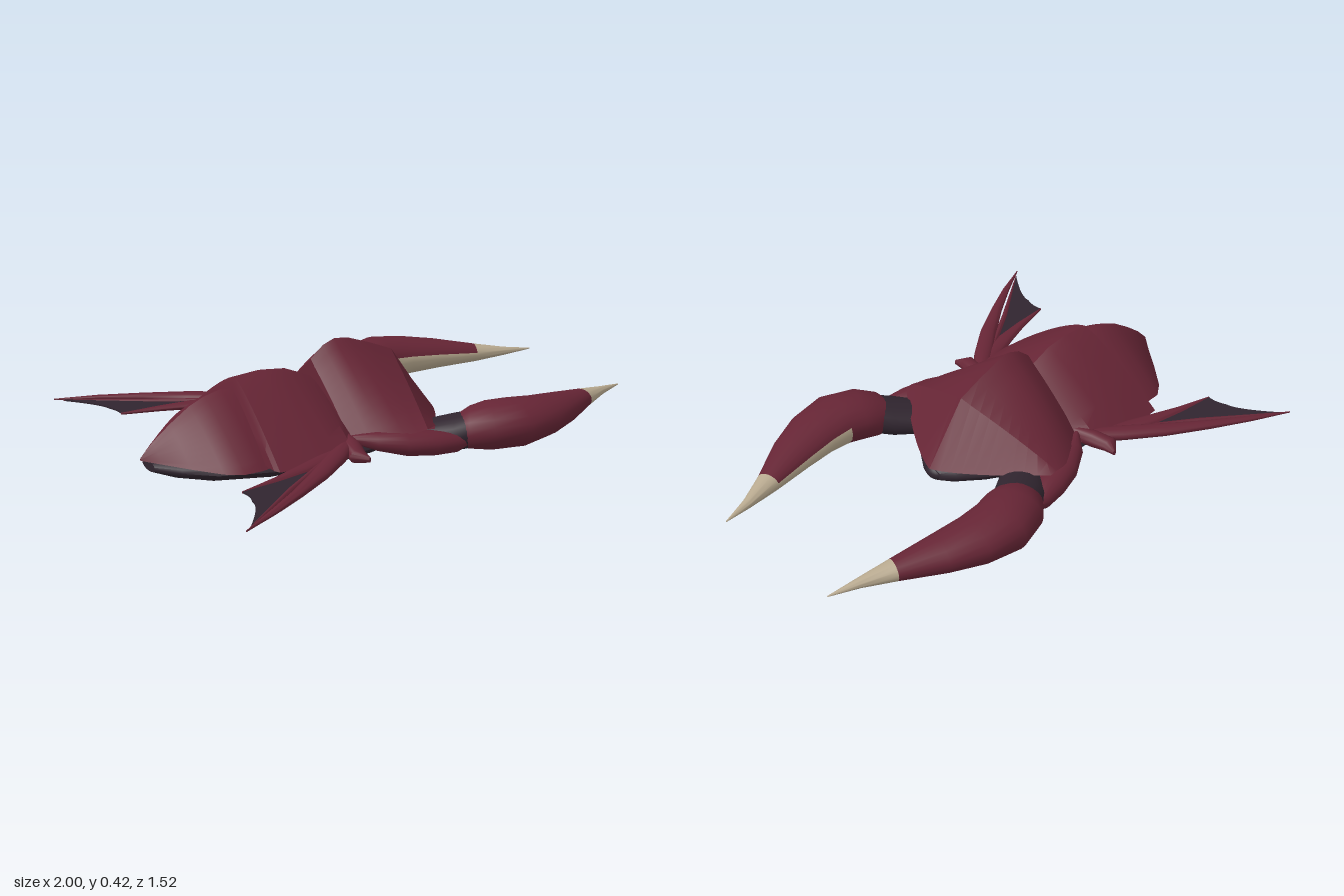
import * as THREE from 'three';
import { toCreasedNormals } from 'three/addons/utils/BufferGeometryUtils.js';

const mat = (name, color) => {
  const m = new THREE.MeshStandardMaterial({ color, side: THREE.DoubleSide });
  m.name = name;
  return m;
};

// Skin closed rings of points; pick(i, j) chooses the material slot of each quad
function loft(rings, crease = 0.6, pick = () => 0) {
  const n = rings[0].length, last = rings.length - 1;
  const pos = rings.flat().flatMap((p) => [p.x, p.y, p.z]);
  const slots = [[], []];
  for (let i = 0; i < last; i++) {
    for (let j = 0; j < n; j++) {
      const a = i * n + j, b = i * n + (j + 1) % n;
      slots[pick(i, j)].push(a, b, a + n, b, b + n, a + n);
    }
  }
  // End caps
  for (const i of [0, last]) {
    const c = new THREE.Vector3();
    rings[i].forEach((p) => c.addScaledVector(p, 1 / n));
    const k = pos.length / 3;
    pos.push(c.x, c.y, c.z);
    for (let j = 0; j < n; j++) {
      const a = i * n + j, b = i * n + (j + 1) % n;
      slots[pick(Math.min(i, last - 1), j)].push(k, ...(i ? [a, b] : [b, a]));
    }
  }
  const geo = new THREE.BufferGeometry();
  geo.setAttribute('position', new THREE.Float32BufferAttribute(pos, 3));
  geo.setIndex(slots.flat());
  geo.addGroup(0, slots[0].length, 0);
  if (slots[1].length) geo.addGroup(slots[0].length, slots[1].length, 1);
  return toCreasedNormals(geo, crease);
}

// Gabled armour plate. Stations: [x, halfWidth, ridgeY, edgeY, sideSkew, skewPower]
function shell(stations, profile) {
  const N = 20;
  return loft(stations.map(([x, w, h, e, skew = 0, pow = 1]) => {
    const ring = [];
    for (let j = 0; j <= N; j++) {
      const t = (j / N) * 2 - 1, a = Math.abs(t);
      ring.push(new THREE.Vector3(x - skew * a ** pow, e + (h - e) * profile(a), t * w));
    }
    return ring;
  }), 0.45);
}

// Oval limb along a path. Points: [x, y, z, halfWidth, halfHeight]; s mirrors in z
const SIDES = 20;
function limb(points, s = 1, pick) {
  const path = points.map(([x, y, z]) => new THREE.Vector3(x, y, z * s));
  const rings = points.map(([, , , w, h], i) => {
    const dir = path[Math.min(i + 1, path.length - 1)].clone().sub(path[Math.max(i - 1, 0)]);
    dir.y = 0;
    const side = new THREE.Vector3(0, 1, 0).cross(dir.normalize());
    return Array.from({ length: SIDES }, (_, j) => {
      const th = (j / SIDES) * Math.PI * 2;
      const p = path[i].clone().addScaledVector(side, w * Math.cos(th));
      p.y += h * Math.sin(th);
      return p;
    });
  });
  return loft(rings, 0.8, pick);
}

export function createModel() {
  const red = mat('crimson shell', 0x662535);
  const dark = mat('dark skin', 0x30252f);
  const cream = mat('cream claw', 0xb9aa90);
  const model = new THREE.Group();
  const add = (name, geo, material, parent = model) => {
    const mesh = new THREE.Mesh(geo, material);
    mesh.name = name;
    parent.add(mesh);
  };

  // Soft underbody and mouth
  add('underbody', limb([
    [-0.97, 0.09, 0, 0.05, 0.02], [-0.9, 0.085, 0, 0.13, 0.04], [-0.8, 0.08, 0, 0.21, 0.052],
    [-0.6, 0.075, 0, 0.28, 0.062], [-0.42, 0.075, 0, 0.3, 0.065], [-0.2, 0.08, 0, 0.29, 0.062],
    [0, 0.085, 0, 0.25, 0.06], [0.12, 0.085, 0, 0.18, 0.055], [0.2, 0.075, 0, 0.1, 0.04],
    [0.235, 0.07, 0, 0.05, 0.025],
  ]), dark);
  const mouth = new THREE.SphereGeometry(1, 20, 12);
  mouth.scale(0.03, 0.028, 0.045);
  mouth.translate(0.22, 0.068, 0);
  add('mouth', mouth, dark);

  // Armour plates from tail to head
  const tailProfile = (a) => 1 - a ** 1.25;
  const headProfile = (a) => 1 - 0.55 * a ** 0.8 - 0.45 * a ** 1.6;
  add('tailPlate', shell([
    [-1, 0.005, 0.125, 0.115], [-0.95, 0.065, 0.175, 0.11], [-0.88, 0.155, 0.228, 0.105],
    [-0.8, 0.25, 0.28, 0.1], [-0.74, 0.293, 0.305, 0.1], [-0.67, 0.297, 0.32, 0.1],
    [-0.6, 0.28, 0.31, 0.1],
  ], tailProfile), red);
  add('middlePlate', shell([
    [-0.62, 0.34, 0.33, 0.11, 0.03], [-0.61, 0.365, 0.357, 0.11, 0.03],
    [-0.5, 0.375, 0.363, 0.11, 0.015], [-0.4, 0.372, 0.35, 0.11],
    [-0.32, 0.36, 0.315, 0.11], [-0.27, 0.29, 0.29, 0.11],
  ], tailProfile), red);
  add('headPlate', shell([
    [-0.285, 0.27, 0.365, 0.12], [-0.23, 0.32, 0.41, 0.125], [-0.18, 0.355, 0.428, 0.135],
    [-0.12, 0.38, 0.42, 0.145], [-0.02, 0.395, 0.383, 0.15, 0.05],
    [0.08, 0.4, 0.34, 0.155, 0.11], [0.25, 0.4, 0.095, 0.15, 0.25, 1.3],
  ], headProfile), red);

  for (const s of [1, -1]) {
    const side = new THREE.Group();
    side.name = s > 0 ? 'leftLimbs' : 'rightLimbs';
    model.add(side);

    // Arm: armoured shoulder, soft elbow, claw
    add('shoulder', limb([
      [-0.29, 0.13, 0.265, 0.008, 0.012], [-0.2, 0.12, 0.32, 0.045, 0.035],
      [-0.1, 0.105, 0.36, 0.065, 0.047], [0, 0.095, 0.395, 0.06, 0.045],
      [0.08, 0.088, 0.425, 0.038, 0.035], [0.13, 0.088, 0.437, 0.012, 0.015],
    ], s), red, side);
    add('elbow', limb([
      [-0.05, 0.08, 0.2, 0.06, 0.045], [0.04, 0.087, 0.29, 0.09, 0.055],
      [0.12, 0.1, 0.355, 0.098, 0.068], [0.2, 0.12, 0.41, 0.085, 0.07],
    ], s), dark, side);
    const claw = [
      [0.13, 0.11, 0.35, 0.055, 0.05], [0.17, 0.118, 0.385, 0.1, 0.078],
      [0.23, 0.127, 0.425, 0.12, 0.09], [0.33, 0.13, 0.458, 0.125, 0.09],
      [0.45, 0.127, 0.447, 0.113, 0.076], [0.58, 0.121, 0.41, 0.09, 0.06],
      [0.75, 0.109, 0.35, 0.048, 0.037], [0.88, 0.103, 0.311, 0.021, 0.017],
      [1, 0.1, 0.285, 0.002, 0.002],
    ];
    // Cream on the tip and along the lower inner edge
    const clawColour = (i, j) => {
      const th = ((j + 0.5) / SIDES) * Math.PI * 2;
      const angle = Math.atan2(Math.sin(th), Math.cos(th) * s);
      return i >= 6 || (i >= 3 && angle > -1.1 && angle < 0.2) ? 1 : 0;
    };
    add('claw', limb(claw, s, clawColour), [red, cream], side);

    // Flipper: two struts, a thin rib and a webbed skin
    add('flipperStrut', limb([
      [-0.32, 0.12, 0.3, 0.03, 0.025], [-0.42, 0.123, 0.385, 0.038, 0.023],
      [-0.55, 0.125, 0.487, 0.034, 0.019], [-0.7, 0.125, 0.588, 0.023, 0.014],
      [-0.85, 0.125, 0.678, 0.014, 0.009], [-1, 0.122, 0.757, 0.002, 0.003],
    ], s), red, side);
    add('flipperInnerStrut', limb([
      [-0.32, 0.115, 0.3, 0.03, 0.02], [-0.45, 0.118, 0.365, 0.037, 0.018],
      [-0.58, 0.12, 0.41, 0.03, 0.015], [-0.7, 0.12, 0.44, 0.018, 0.01],
      [-0.85, 0.12, 0.467, 0.003, 0.004],
    ], s), red, side);
    add('flipperRib', limb([
      [-0.48, 0.12, 0.395, 0.012, 0.012], [-0.7, 0.12, 0.538, 0.011, 0.009],
      [-0.97, 0.12, 0.733, 0.002, 0.003],
    ], s), red, side);
    const web = new THREE.Shape();
    web.moveTo(-0.46, 0.37 * s);
    web.lineTo(-0.7, 0.536 * s);
    web.lineTo(-0.97, 0.733 * s);
    web.quadraticCurveTo(-0.86, 0.6 * s, -0.86, 0.55 * s);
    web.quadraticCurveTo(-0.84, 0.51 * s, -0.85, 0.465 * s);
    web.lineTo(-0.6, 0.41 * s);
    const webGeo = new THREE.ExtrudeGeometry(web, { depth: 0.006, bevelEnabled: false });
    webGeo.rotateX(Math.PI / 2);
    webGeo.translate(0, 0.123, 0);
    add('flipperWeb', webGeo, dark, side);

    // Pointed flare at the flipper root
    add('hipFlare', limb([
      [-0.29, 0.12, 0.25, 0.02, 0.03], [-0.315, 0.12, 0.33, 0.035, 0.033],
      [-0.335, 0.115, 0.395, 0.036, 0.025], [-0.312, 0.11, 0.44, 0.006, 0.01],
    ], s), red, side);
  }
  return model;
}
